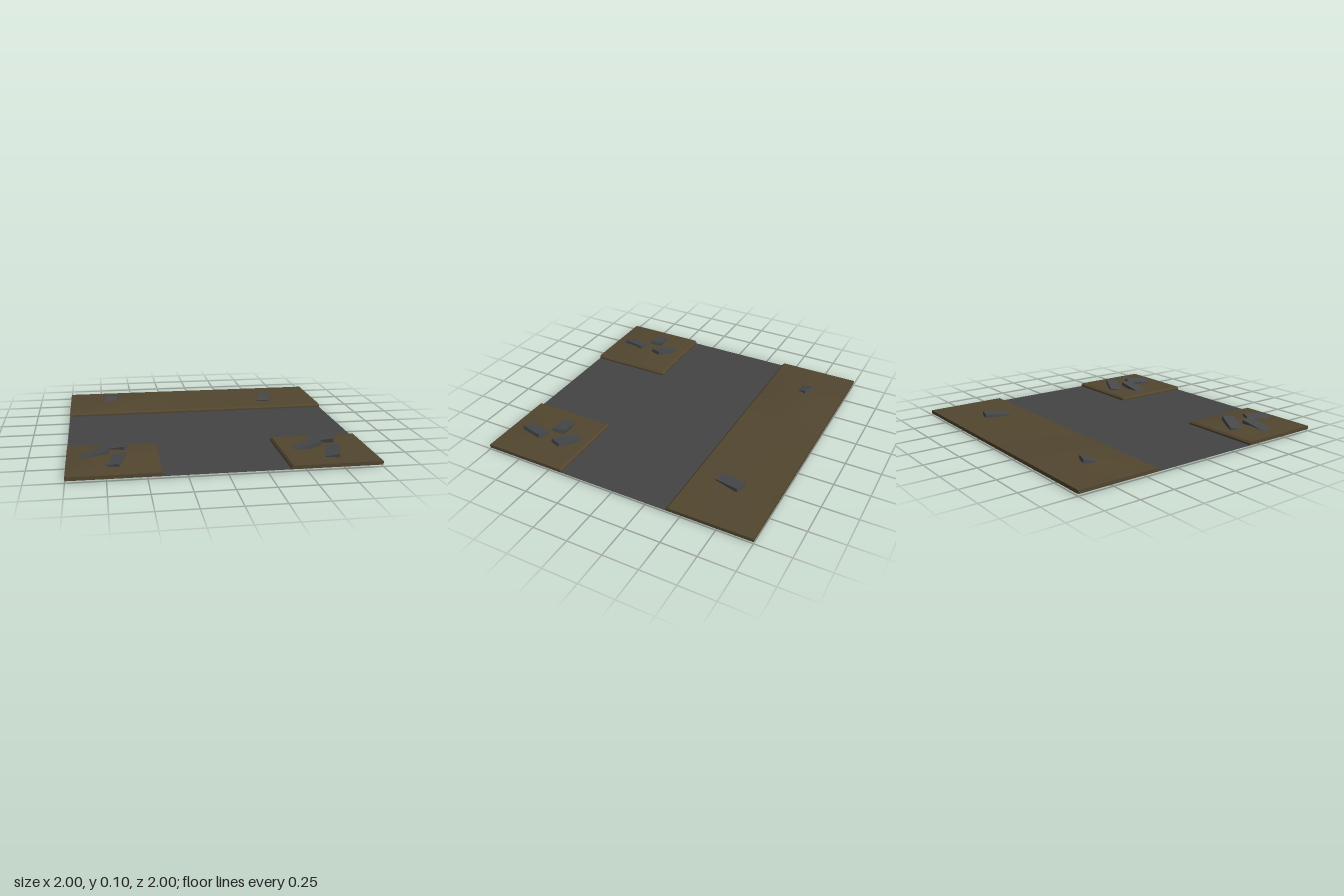
import * as THREE from 'three';

const BASE = 0.016, TOP = 0.04, BEVEL = 0.012;

export function createModel() {
  const model = new THREE.Group();
  model.name = 'roadJunctionTile';

  const dirt = new THREE.MeshStandardMaterial({ color: 0x52462f, side: THREE.DoubleSide });
  dirt.name = 'dirt brown';
  const asphalt = new THREE.MeshStandardMaterial({ color: 0x444444, side: THREE.DoubleSide });
  asphalt.name = 'asphalt grey';
  const stone = new THREE.MeshStandardMaterial({ color: 0x46484a });
  stone.name = 'slab grey';

  function add(parent, name, geometry, material) {
    const mesh = new THREE.Mesh(geometry, material);
    mesh.name = name;
    parent.add(mesh);
    return mesh;
  }

  // Raised ground: a hollow shell with an uneven top; sides inside the tile get a bevelled kerb.
  // rows: heights of the inner grid points, from back to front.
  function ground(name, x0, x1, z0, z1, rows) {
    const group = new THREE.Group();
    group.name = name;
    model.add(group);
    const inset = (v, dir) => (Math.abs(v) < 0.99 ? v + dir * BEVEL : v);
    const ix0 = inset(x0, 1), ix1 = inset(x1, -1), iz0 = inset(z0, 1), iz1 = inset(z1, -1);
    const nx = Math.round((x1 - x0) / 0.2), nz = Math.round((z1 - z0) / 0.2);

    const top = new THREE.PlaneGeometry(ix1 - ix0, iz1 - iz0, nx, nz).rotateX(-Math.PI / 2);
    top.translate((ix0 + ix1) / 2, TOP, (iz0 + iz1) / 2);
    rows.forEach((row, r) => row.forEach((y, c) =>
      top.attributes.position.setY((r + 1) * (nx + 1) + c + 1, y)));
    top.computeVertexNormals();
    add(group, name + 'Surface', top, dirt);

    // Kerb from three stacked rings
    const ring = (a, b, c, d, y) => [[a, y, d], [b, y, d], [b, y, c], [a, y, c]];
    const rings = [
      ring(x0, x1, z0, z1, BASE),
      ring(x0, x1, z0, z1, TOP - BEVEL),
      ring(ix0, ix1, iz0, iz1, TOP),
    ];
    const points = [];
    for (let k = 0; k < 2; k++) {
      for (let i = 0; i < 4; i++) {
        const j = (i + 1) % 4, lo = rings[k], hi = rings[k + 1];
        points.push(...lo[i], ...lo[j], ...hi[j], ...lo[i], ...hi[j], ...hi[i]);
      }
    }
    const kerb = new THREE.BufferGeometry();
    kerb.setAttribute('position', new THREE.Float32BufferAttribute(points, 3));
    kerb.computeVertexNormals();
    add(group, name + 'Kerb', kerb, dirt);
  }

  ground('backVerge', -1, 1, -1, -0.4, [
    [0.05, 0.062, 0.066, 0.04, 0.036, 0.04, 0.037, 0.036, 0.04],
    [0.052, 0.068, 0.067, 0.038, 0.04, 0.038, 0.04, 0.036, 0.046],
  ]);
  ground('leftCorner', 0.4, 1, 0.4, 1, [[0.042, 0.05], [0.042, 0.049]]);
  ground('rightCorner', -1, -0.4, 0.4, 1, [[0.066, 0.068], [0.066, 0.069]]);

  // T-shaped road sheet
  const outline = [[-1, 0.4], [1, 0.4], [1, -0.4], [0.4, -0.4], [0.4, -1],
    [-0.4, -1], [-0.4, -0.4], [-1, -0.4]].reverse();
  const road = new THREE.ShapeGeometry(new THREE.Shape(outline.map(p => new THREE.Vector2(...p))));
  road.rotateX(-Math.PI / 2).translate(0, BASE, 0);
  add(model, 'road', road, asphalt);

  // Loose slabs, half sunk in the dirt
  const slabGeometry = new THREE.BoxGeometry(0.185, 0.027, 0.092);
  function slab(name, x, y, z, yaw, tiltX, tiltZ) {
    const mesh = add(model, name, slabGeometry, stone);
    mesh.position.set(x, y, z);
    mesh.rotation.set(tiltX, yaw, tiltZ, 'XZY');
  }
  for (const [side, shift, lift] of [['left', 0, 0], ['right', -1.41, 0.01]]) {
    slab(side + 'SlabBack', 0.722 + shift, 0.053 + lift, 0.545, -0.43, 0, 0.23);
    slab(side + 'SlabMiddle', 0.591 + shift, 0.051 + lift, 0.656, 0.12, 0, 0.25);
    slab(side + 'SlabFront', 0.725 + shift, 0.052 + lift, 0.805, 1.27, 0, 0.25);
  }
  slab('backLeftSlab', 0.59, 0.042, -0.66, 1.3, 0.1, 0.04);
  slab('backRightSlab', -0.685, 0.043, -0.66, 1.27, 0.28, 0.08);

  return model;
}
